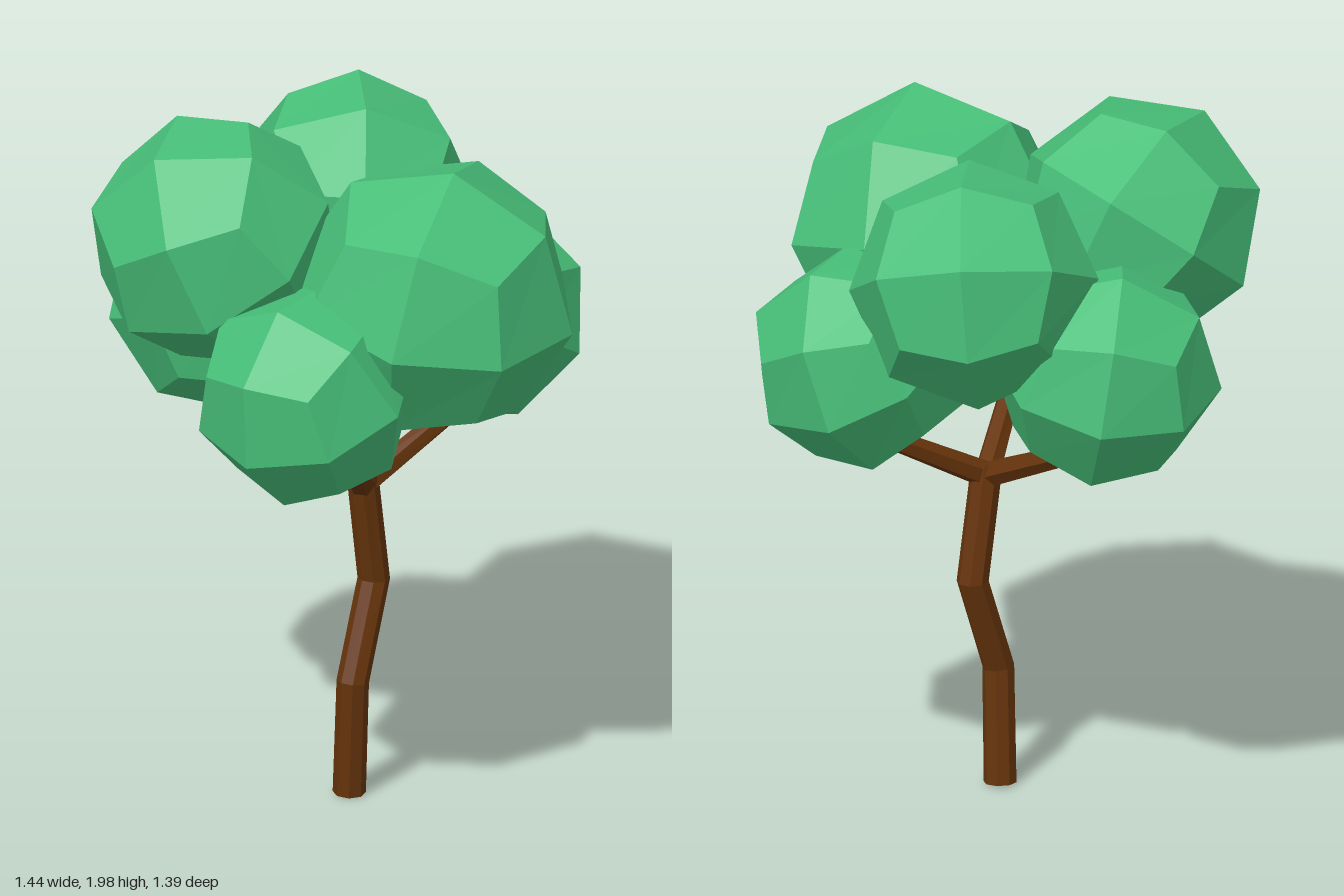
import * as THREE from 'three';

const bark = new THREE.MeshStandardMaterial({ color: 0x66340b });
bark.name = 'bark brown';
const leaf = new THREE.MeshStandardMaterial({ color: 0x47be78 });
leaf.name = 'leaf green';

// Faceted limb: rings of points [x, y, z, radius] joined by flat sides, capped at both ends
function limb(name, points, sides = 8) {
  const centres = points.map(([x, y, z]) => new THREE.Vector3(x, y, z));
  const rings = centres.map((c, i) => {
    const before = centres[Math.max(i - 1, 0)];
    const after = centres[Math.min(i + 1, centres.length - 1)];
    const t = after.clone().sub(before).normalize();
    const u = new THREE.Vector3(0, 0, 1).cross(t).normalize();
    const v = t.clone().cross(u);
    return Array.from({ length: sides }, (_, j) => {
      const a = ((j + 0.5) / sides) * Math.PI * 2;
      return c.clone().addScaledVector(u, Math.cos(a) * points[i][3]).addScaledVector(v, Math.sin(a) * points[i][3]);
    });
  });
  const last = rings.length - 1;
  const tris = [];
  for (let j = 0; j < sides; j++) {
    const k = (j + 1) % sides;
    for (let i = 0; i < last; i++) {
      const [a, b, c, d] = [rings[i][j], rings[i][k], rings[i + 1][k], rings[i + 1][j]];
      tris.push(a, b, c, a, c, d);
    }
    tris.push(centres[0], rings[0][k], rings[0][j], centres[last], rings[last][j], rings[last][k]);
  }
  const geometry = new THREE.BufferGeometry().setFromPoints(tris);
  geometry.computeVertexNormals();
  const mesh = new THREE.Mesh(geometry, bark);
  mesh.name = name;
  return mesh;
}

// Ball of 24 flat four-sided facets: a 2x2x2 box pushed out towards a sphere
function leafBall() {
  const box = new THREE.BoxGeometry(2, 2, 2, 2, 2, 2).toNonIndexed();
  const p = box.attributes.position;
  const v = new THREE.Vector3();
  for (let i = 0; i < p.count; i++) {
    v.fromBufferAttribute(p, i);
    const isCorner = v.lengthSq() > 2.5;
    v.setLength(isCorner ? 0.96 : 1); // keeps each facet almost flat
    p.setXYZ(i, v.x, v.y, v.z);
  }
  box.computeVertexNormals();
  return box;
}

export function createModel() {
  const tree = new THREE.Group();
  tree.name = 'tree';

  // Crooked trunk
  tree.add(limb('trunk', [
    [0.028, 0, -0.022, 0.046],
    [0.047, 0.335, -0.002, 0.045],
    [0.068, 0.61, -0.1, 0.045],
    [0.06, 0.942, -0.038, 0.044],
  ]));

  // Three branches that bend upwards into the leaves
  const fork = [0.06, 0.905, -0.04, 0.038];
  tree.add(limb('rightBranch', [fork, [-0.235, 1.04, -0.1, 0.031], [-0.28, 1.13, -0.12, 0.027]], 6));
  tree.add(limb('frontBranch', [fork, [0.15, 1.05, 0.22, 0.031], [0.18, 1.14, 0.27, 0.027]], 6));
  tree.add(limb('backBranch', [fork, [0.21, 1.05, -0.275, 0.031], [0.24, 1.14, -0.31, 0.027]], 6));

  // Leaf clusters: name, centre, radius, turn
  const ball = leafBall();
  const clusters = [
    ['upperRightLeaves', [-0.288, 1.655, 0.185], 0.356, [0.5, 0.3, 0.3]],
    ['upperLeftLeaves', [0.332, 1.545, 0.088], 0.402, [0.15, 0.1, -0.2]],
    ['upperBackLeaves', [-0.12, 1.612, -0.388], 0.347, [0.5, 0.4, -0.3]],
    ['lowerFrontLeaves', [0.08, 1.325, 0.4], 0.313, [0.45, -0.2, 0.1]],
    ['lowerRightLeaves', [-0.415, 1.345, -0.17], 0.322, [-0.3, 0.5, 0.3]],
    ['lowerBackLeaves', [0.247, 1.325, -0.4], 0.313, [-0.4, 0.25, -0.25]],
  ];
  for (const [name, centre, radius, turn] of clusters) {
    const mesh = new THREE.Mesh(ball, leaf);
    mesh.name = name;
    mesh.position.set(...centre);
    mesh.rotation.set(...turn);
    mesh.scale.setScalar(radius);
    tree.add(mesh);
  }
  return tree;
}
